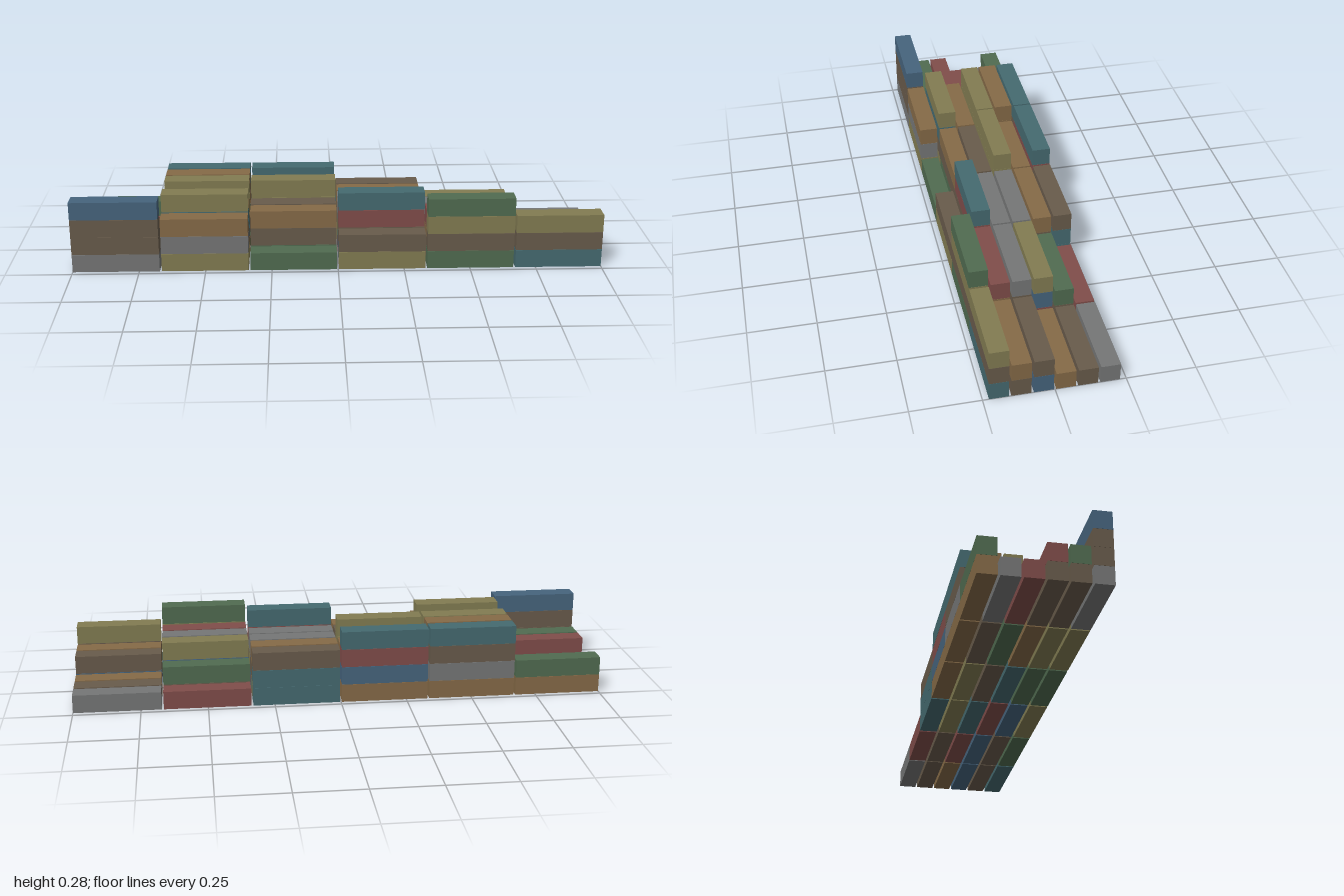
import * as THREE from 'three';

const COLORS = {
  g: 0x506b50, t: 0x456a70, b: 0x46647d, r: 0x804d4a,
  o: 0x827c52, n: 0x856a47, w: 0x685b4b, s: 0x757676,
};

// Each string is one stack, listed bottom to top, one letter per container colour.
// Rows run from the front (+z) to the back, stacks from -x to +x.
const STACKS = [
  ['swwb', 'osn', 'g', 'ow', 'gwog', 'two'],
  ['wg', 'owto', 'gwn', 'bwrt', 'wnr', 'wn'],
  ['wr', 'ntn', 'tow', 'ros', 'bws', 'bw'],
  ['r', 'gwoo', 'wboo', 'tws', 'rbo', 'n'],
  ['s', 'wtnn', 'ogn', 'own', 'wg', 'w'],
  ['ng', 'nswt', 'nbrt', 'ttw', 'r', 's'],
];

const LENGTH = 0.327, HEIGHT = 0.0688, WIDTH = 0.0688;
const PITCH_X = (2 - LENGTH) / 5, PITCH_Y = 0.0694, PITCH_Z = 0.0774;

export function createModel() {
  const yard = new THREE.Group();
  yard.name = 'containerYard';

  // One shared box and one material per colour
  const box = new THREE.BoxGeometry(LENGTH, HEIGHT, WIDTH);
  const materials = {};
  for (const key in COLORS) {
    materials[key] = new THREE.MeshStandardMaterial({ color: COLORS[key] });
  }

  STACKS.forEach((row, r) => {
    row.forEach((stack, c) => {
      const group = new THREE.Group();
      group.name = `stackRow${r + 1}Bay${c + 1}`;
      group.position.set((c - 2.5) * PITCH_X, 0, (2.5 - r) * PITCH_Z);
      [...stack].forEach((key, level) => {
        const container = new THREE.Mesh(box, materials[key]);
        container.name = `containerLevel${level + 1}`;
        container.position.y = HEIGHT / 2 + level * PITCH_Y;
        group.add(container);
      });
      yard.add(group);
    });
  });
  return yard;
}
